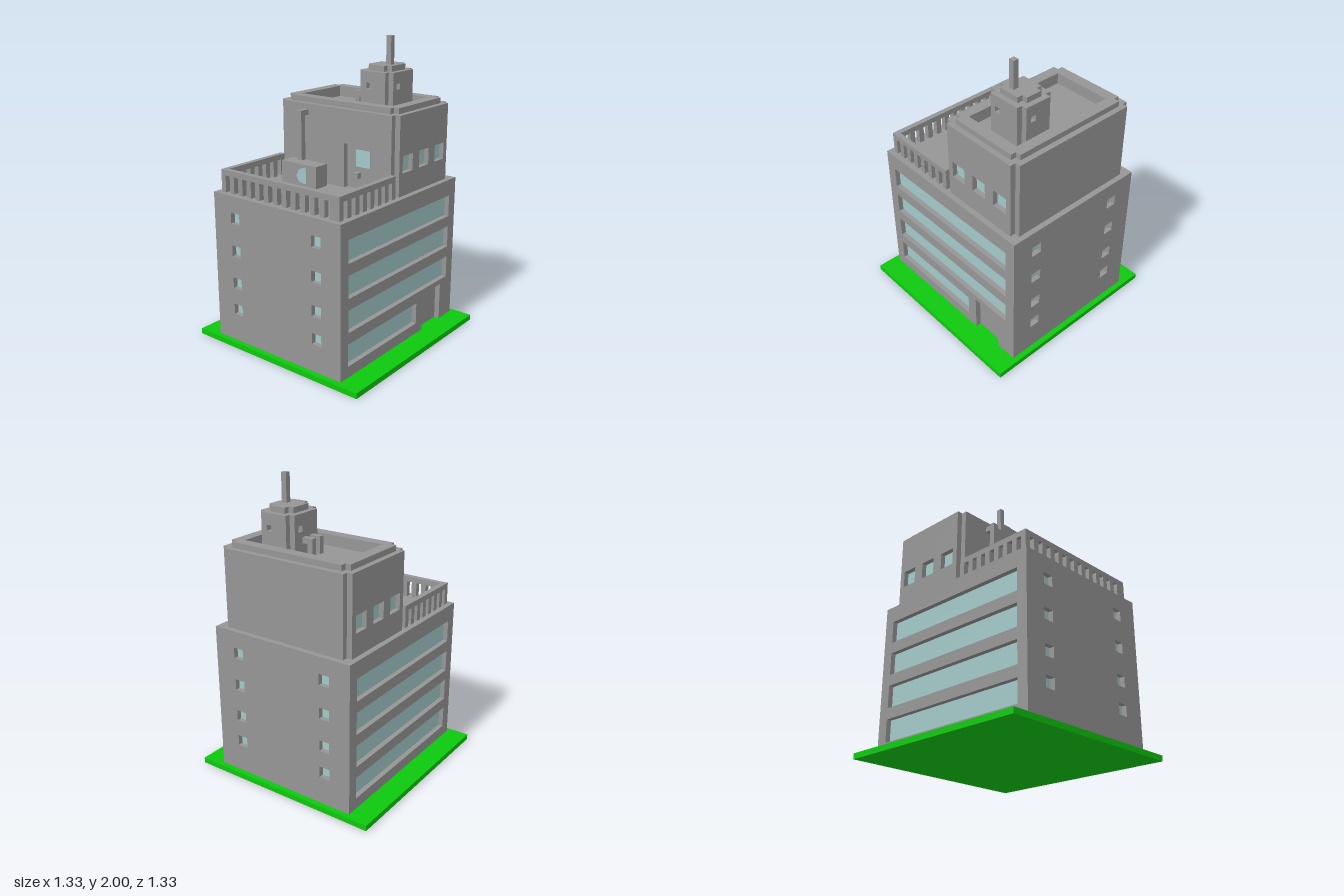
import * as THREE from 'three';

const concrete = new THREE.MeshStandardMaterial({ color: 0x969696 });
concrete.name = 'concrete grey';
const glass = new THREE.MeshStandardMaterial({ color: 0xa3c9c8 });
glass.name = 'window glass';
const grass = new THREE.MeshStandardMaterial({ color: 0x0dc90d });
grass.name = 'lawn green';

// All sizes below are in blocks; the building is 54 blocks tall.
const UNIT = 2 / 54;

function add(parent, name, geometry, material = concrete) {
  const mesh = new THREE.Mesh(geometry, material);
  mesh.name = name;
  parent.add(mesh);
  return mesh;
}

function box(parent, name, x0, x1, y0, y1, z0, z1, material) {
  const g = new THREE.BoxGeometry(x1 - x0, y1 - y0, z1 - z0);
  g.translate((x0 + x1) / 2, (y0 + y1) / 2, (z0 + z1) / 2);
  return add(parent, name, g, material);
}

const polygon = (pts) => pts.map(([x, y]) => new THREE.Vector2(x, y));
const rect = (a0, a1, b0, b1) => polygon([[a0, b0], [a1, b0], [a1, b1], [a0, b1]]);

// How each facade turns, and how its horizontal axis runs
const SIDES = {
  front: { turn: 0, sign: 1, place: (m, p) => m.position.setZ(p) },
  back: { turn: Math.PI, sign: -1, place: (m, p) => m.position.setZ(p) },
  right: { turn: Math.PI / 2, sign: -1, place: (m, p) => m.position.setX(p) },
  left: { turn: -Math.PI / 2, sign: 1, place: (m, p) => m.position.setX(p) },
};

// One-block-thick wall against the core at `plane`, with window openings and an optional doorway
// Openings are [a0, a1, y0, y1]; a is x on front and back, z on the sides
function wall(parent, name, side, plane, [a0, a1, y0, y1], { windows = [], door, glazed = true } = {}) {
  const { turn, sign, place } = SIDES[side];
  const local = ([p, q, r, s]) => [Math.min(p * sign, q * sign), Math.max(p * sign, q * sign), r, s];
  const [l, r] = local([a0, a1, 0, 0]);
  const pts = [[l, y0]];
  if (door) {
    const [d0, d1, , top] = local(door);
    pts.push([d0, y0], [d0, top], [d1, top], [d1, y0]);
  }
  pts.push([r, y0], [r, y1], [l, y1]);
  const shape = new THREE.Shape(polygon(pts));
  for (const w of windows) shape.holes.push(new THREE.Path(rect(...local(w))));

  const facade = new THREE.Group();
  facade.name = name;
  facade.rotation.y = turn;
  place(facade, plane);
  parent.add(facade);
  add(facade, 'wall', new THREE.ExtrudeGeometry(shape, { depth: 1, bevelEnabled: false }));
  if (glazed) for (const w of windows) {
    const [w0, w1, b, t] = local(w);
    box(facade, 'windowPane', w0, w1, b, t, 0, 0.1, glass);
  }
  return facade;
}

// Horizontal slab from an outline in x and z (mirrored front to back)
function slab(parent, name, outline, hole, y, height) {
  const shape = new THREE.Shape(outline);
  if (hole) shape.holes.push(new THREE.Path(hole));
  const g = new THREE.ExtrudeGeometry(shape, { depth: height, bevelEnabled: false });
  g.rotateX(-Math.PI / 2).translate(0, y, 0);
  return add(parent, name, g);
}

function section(parent, name) {
  const g = new THREE.Group();
  g.name = name;
  parent.add(g);
  return g;
}

function buildOffices(parent) {
  const g = section(parent, 'officeFloors');
  box(g, 'core', -16, 16, 1, 28, -13, 13);
  const bands = [3, 9, 15, 21].map((y) => [-15, 15, y, y + 4]);
  const frontBands = bands.map((b, i) => (i === 0 ? [-15, 5, 3, 7] : b));
  const small = [6, 11, 17, 23].flatMap((y) => [[-10, -8, y, y + 2], [8, 10, y, y + 2]]);
  wall(g, 'frontFacade', 'front', 13, [-17, 17, 1, 28], { windows: frontBands, door: [7, 13, 1, 8] });
  wall(g, 'backFacade', 'back', -13, [-17, 17, 1, 28], { windows: bands });
  wall(g, 'rightFacade', 'right', 16, [-13, 13, 1, 28], { windows: small });
  wall(g, 'leftFacade', 'left', -16, [-13, 13, 1, 28], { windows: small });
}

function buildPenthouse(parent) {
  const g = section(parent, 'penthouse');
  box(g, 'core', 0, 15, 28, 41, -12, 12);
  const windows = [1, 6, 11].map((x) => [x, x + 3, 32, 35]);
  wall(g, 'frontFacade', 'front', 12, [0, 15, 28, 42], { windows });
  wall(g, 'backFacade', 'back', -12, [0, 15, 28, 42], { windows });
  wall(g, 'rightFacade', 'right', 15, [-12, 12, 28, 42]);
  wall(g, 'terraceFacade', 'left', 0, [-12, 12, 28, 42], { door: [2, 8, 28, 36] });
  box(g, 'terraceDoorWindow', -0.1, 0, 32, 35, 4, 7, glass);
  box(g, 'terraceDoorHandle', -1, 0, 30, 31, 4, 5);
  // Parapet: lower ring, then an upper ring with stepped corners
  const well = rect(2, 13, -10, 10);
  slab(g, 'parapetBase', rect(0, 15, -12, 12), well, 41, 1);
  slab(g, 'parapetRim', polygon([
    [1, -12], [14, -12], [14, -11], [15, -11], [15, 11], [14, 11],
    [14, 12], [1, 12], [1, 11], [0, 11], [0, -11], [1, -11],
  ]), well, 42, 1);
}

function buildTower(parent) {
  const g = section(parent, 'roofTower');
  box(g, 'core', 5, 11, 41, 48, 2, 7);
  const opening = (a) => ({ windows: [[a, a + 1, 45, 46]], glazed: false });
  wall(g, 'frontFacade', 'front', 7, [5, 11, 41, 48], opening(6));
  wall(g, 'backFacade', 'back', 2, [5, 11, 41, 48], opening(9));
  wall(g, 'rightFacade', 'right', 11, [2, 7, 41, 48], opening(5));
  wall(g, 'leftFacade', 'left', 5, [2, 7, 41, 48], opening(3));
  box(g, 'capWide', 5, 11, 48, 49, 3, 6);
  box(g, 'capDeep', 6, 10, 48, 49, 2, 7);
  box(g, 'antenna', 7, 8, 49, 54, 5, 6);
  // Bent pipes from the tower down to the roof
  for (const x of [6, 8]) {
    box(g, 'pipeArm', x, x + 1, 43, 44, 0, 1);
    box(g, 'pipeLeg', x, x + 1, 41, 44, -1, 0);
  }
}

function buildTerrace(parent) {
  const g = section(parent, 'terrace');
  // Railing on three sides
  for (const z of [-13, 12]) {
    box(g, 'topRail', -16, -1, 31, 32, z, z + 1);
    for (let x = -16; x <= -2; x += 2) box(g, 'railPost', x, x + 1, 28, 31, z, z + 1);
  }
  box(g, 'topRail', -16, -15, 31, 32, -12, 12);
  for (let z = -11; z <= 11; z += 2) box(g, 'railPost', -16, -15, 28, 31, z, z + 1);
  // Cooling unit with its fan and duct
  box(g, 'coolingUnit', -5, -2, 28, 32, -9, -1);
  const fan = new THREE.CylinderGeometry(1.5, 1.5, 0.1, 8);
  fan.rotateX(Math.PI / 8).rotateZ(Math.PI / 2).translate(-5.05, 30, -3.6);
  add(g, 'coolingFan', fan, glass);
  box(g, 'ductRiser', -3, -2, 32, 41, -7, -6);
  box(g, 'ductElbow', -2, -1, 40, 41, -7, -6);
}

export function createModel() {
  const model = new THREE.Group();
  model.name = 'officeBuilding';
  const blocks = section(model, 'building');
  blocks.scale.setScalar(UNIT);
  box(blocks, 'lawn', -18, 18, 0, 1, -18, 18, grass);
  buildOffices(blocks);
  buildPenthouse(blocks);
  buildTower(blocks);
  buildTerrace(blocks);
  return model;
}
